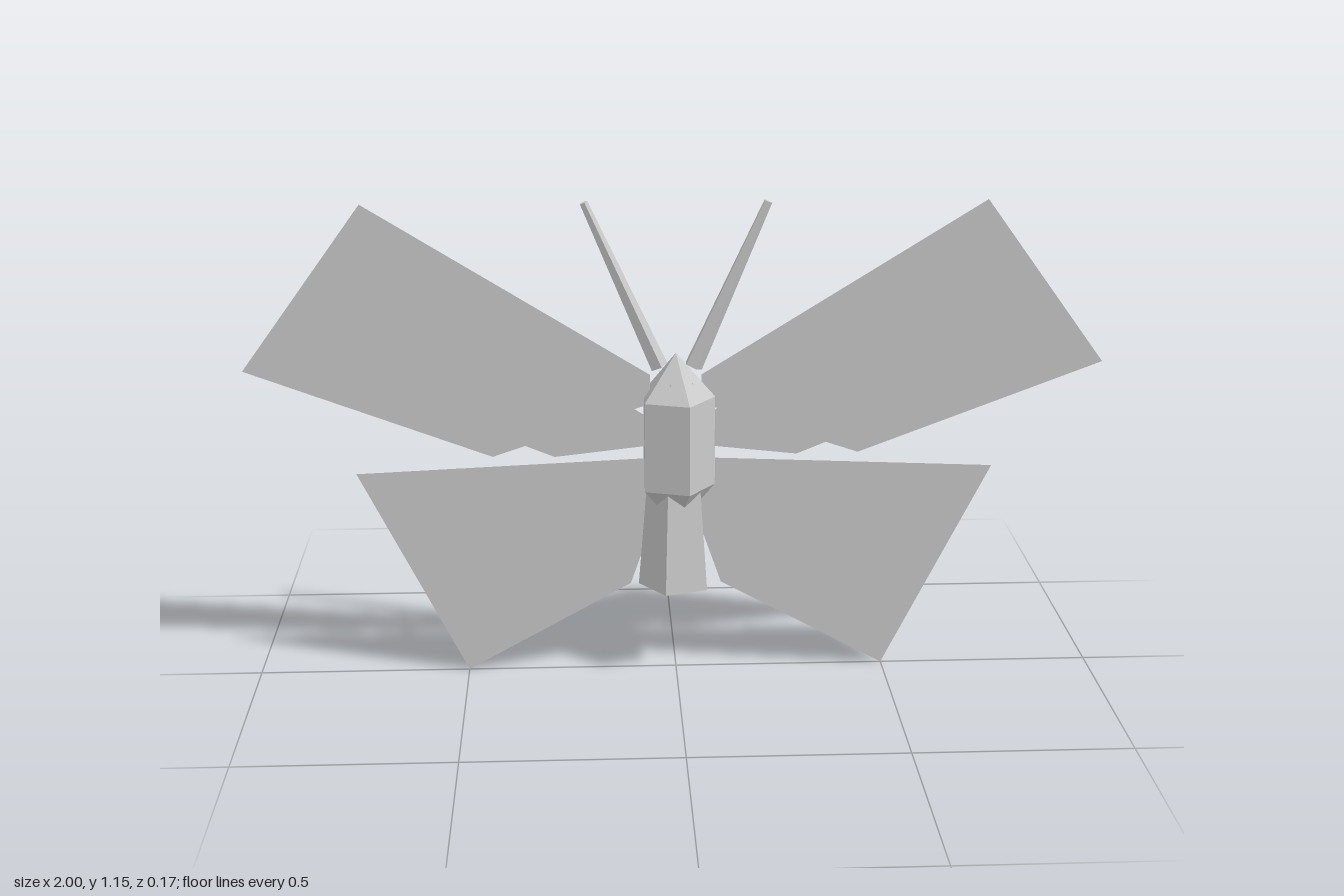
import * as THREE from 'three';

const grey = new THREE.MeshStandardMaterial({ color: 0xcccccc });
grey.name = 'pale grey';
grey.flatShading = true;
const wingGrey = new THREE.MeshStandardMaterial({ color: 0xcccccc, side: THREE.DoubleSide });
wingGrey.name = 'wing grey';

function add(parent, name, geometry, material = grey) {
  const mesh = new THREE.Mesh(geometry, material);
  mesh.name = name;
  parent.add(mesh);
  return mesh;
}

// Flat wing panel from outline points on the model's left, mirrored by side
function wing(parent, name, side, z, points) {
  const outline = points.map(([x, y]) => new THREE.Vector2(x * side, y));
  add(parent, name, new THREE.ShapeGeometry(new THREE.Shape(outline)), wingGrey).position.z = z;
}

// Tapered five-sided rod between two points
function rod(parent, name, from, to, r0, r1) {
  const a = new THREE.Vector3(...from), b = new THREE.Vector3(...to);
  const geometry = new THREE.CylinderGeometry(r1, r0, a.distanceTo(b), 5);
  geometry.rotateY(Math.PI / 2);
  const mesh = add(parent, name, geometry);
  mesh.position.copy(a).lerp(b, 0.5);
  mesh.quaternion.setFromUnitVectors(new THREE.Vector3(0, 1, 0), b.sub(a).normalize());
}

export function createModel() {
  const model = new THREE.Group();
  model.name = 'butterfly';

  // Thorax and head: a five-sided prism with pointed ends, one corner toward +x
  const thorax = add(model, 'thorax', new THREE.SphereGeometry(0.215, 5, 3));
  thorax.geometry.rotateY(Math.PI);
  thorax.scale.set(0.494, 1, 0.494);
  thorax.position.y = 0.573;

  // Abdomen: flared downward, its upper corners just breaking through the head
  const abdomen = add(model, 'abdomen', new THREE.CylinderGeometry(0.048, 0.089, 0.506, 5));
  abdomen.geometry.rotateY(-Math.PI / 2);
  abdomen.position.y = 0.469;

  for (const side of [1, -1]) {
    const label = side > 0 ? 'left' : 'right';
    wing(model, label + 'Forewing', side, 0,
      [[0.06, 0.735], [0.715, 1.142], [1, 0.755], [0.43, 0.54], [0.06, 0.665]]);
    wing(model, label + 'ForewingPanel', side, 0.001,
      [[0.07, 0.635], [0.57, 0.965], [0.715, 0.715], [0.285, 0.538], [0.07, 0.562]]);
    wing(model, label + 'Hindwing', side, 0,
      [[0.03, 0.533], [0.75, 0.502], [0.5, 0], [0.108, 0.217], [0.055, 0.37], [0.03, 0.45]]);
    rod(model, label + 'Antenna', [side * 0.04, 0.755, 0], [side * 0.21, 1.142, 0], 0.022, 0.01);
  }
  return model;
}
